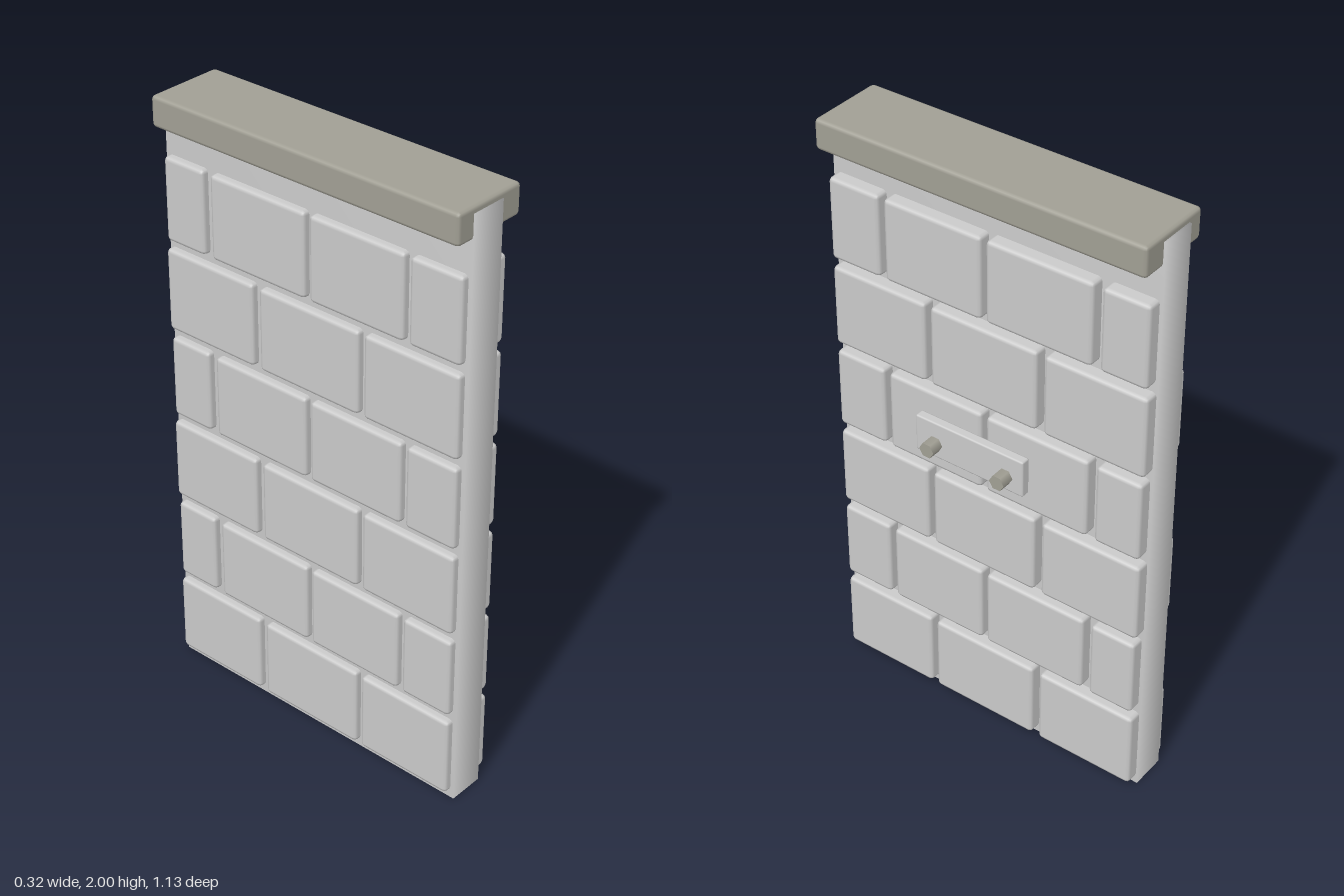
import * as THREE from 'three';
import { mergeVertices } from 'three/addons/utils/BufferGeometryUtils.js';
import { RoundedBoxGeometry } from 'three/addons/geometries/RoundedBoxGeometry.js';

export function createModel() {
  const group = new THREE.Group();
  const mat = (name, color) => {
    const m = new THREE.MeshStandardMaterial({ color });
    m.name = name;
    return m;
  };
  const stone = mat('light grey stone', 0xcacaca);
  const trim = mat('warm grey trim', 0xa19f94);

  const add = (name, geometry, material, parent = group) => {
    const mesh = new THREE.Mesh(geometry, material);
    mesh.name = name;
    parent.add(mesh);
    return mesh;
  };
  // Bevelled block given by its extents
  const block = (name, [x0, x1], [y0, y1], [z0, z1], bevel, material, parent) => {
    const geo = new RoundedBoxGeometry(x1 - x0, y1 - y0, z1 - z0, 1, bevel);
    geo.translate((x0 + x1) / 2, (y0 + y1) / 2, (z0 + z1) / 2);
    return add(name, geo, material, parent);
  };

  // Wall core: a plain slab with shared, softened corner normals
  let core = new THREE.BoxGeometry(0.12, 1.98, 1.126);
  core.deleteAttribute('normal');
  core.deleteAttribute('uv');
  core = mergeVertices(core);
  core.computeVertexNormals();
  core.translate(-0.042, 0.99, 0);
  add('wallCore', core, stone);

  // Bricks run through the wall and stand proud on both faces
  const courses = [
    [[0.21, 0.55], [-0.187, 0.19], [-0.558, -0.213]],
    [[0.37, 0.55], [0.008, 0.35], [-0.37, -0.01], [-0.553, -0.398]],
  ];
  const bricks = new THREE.Group();
  bricks.name = 'bricks';
  group.add(bricks);
  for (let row = 0; row < 6; row++) {
    const y = 0.027 + row * 0.3;
    for (const span of courses[row % 2]) {
      block('brick', [-0.127, 0.062], [y, y + 0.272], span, 0.013, stone, bricks);
    }
  }

  // Coping along the top
  block('coping', [-0.163, 0.097], [1.902, 2], [-0.556, 0.56], 0.012, trim);

  // Mounting plate and its two hexagonal bolts
  block('plate', [0.074, 0.106], [1.008, 1.134], [-0.177, 0.215], 0.006, stone);
  for (const z of [0.133, -0.123]) {
    const bolt = new THREE.CylinderGeometry(0.026, 0.026, 0.043, 6);
    bolt.rotateZ(-Math.PI / 2);
    bolt.translate(0.139, 1.07, z);
    add('bolt', bolt, trim);
  }
  return group;
}
